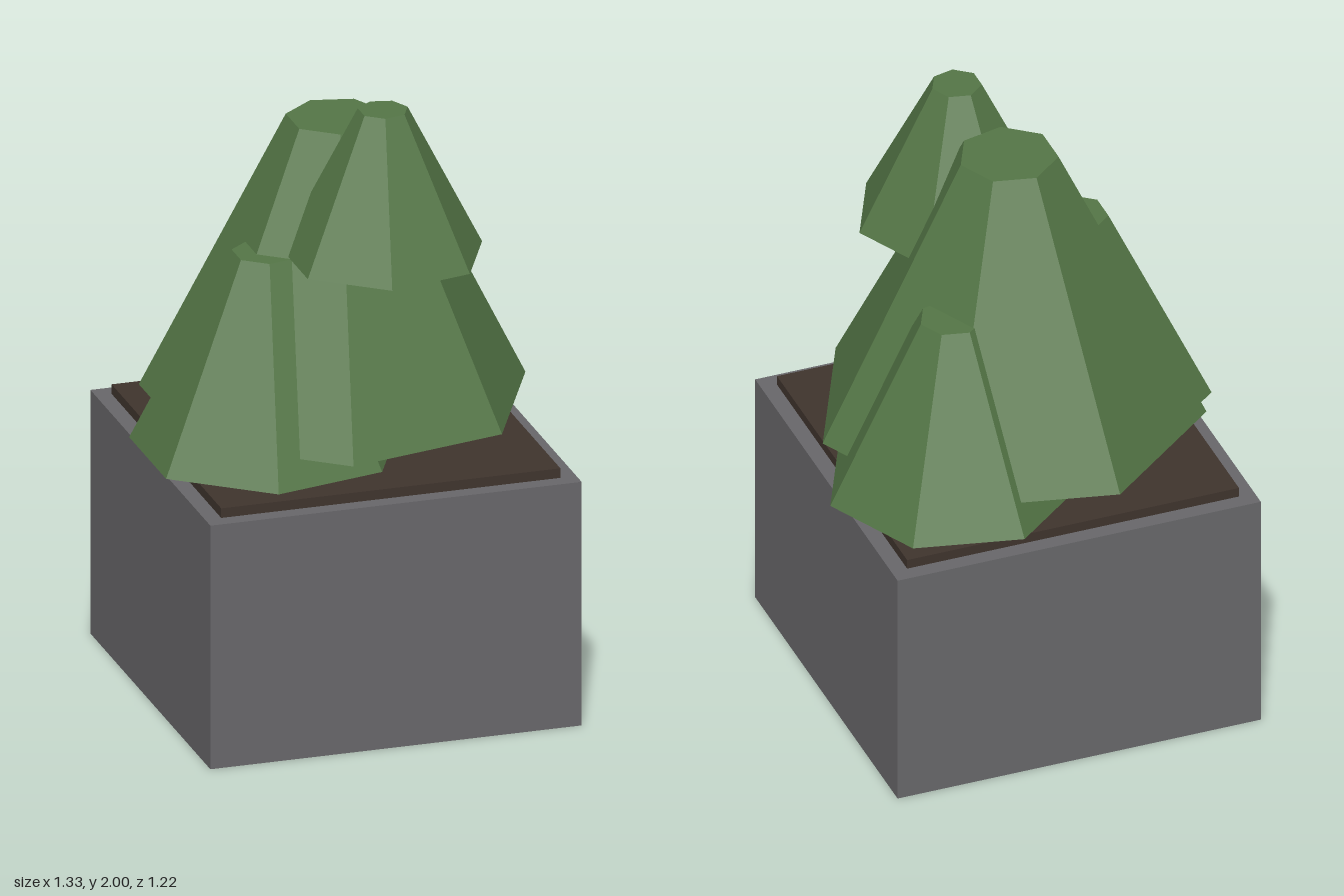
import * as THREE from 'three';

const material = (name, color) => {
  const m = new THREE.MeshStandardMaterial({ color, flatShading: true });
  m.name = name;
  return m;
};

export function createModel() {
  const group = new THREE.Group();
  group.name = 'pottedShrub';
  const stone = material('grey stone', 0x68676a);
  const soil = material('dark soil', 0x3f342d);
  const bark = material('brown bark', 0x4d4138);
  const leaf = material('leaf green', 0x547646);

  const add = (name, geometry, mat, x, y, z) => {
    const mesh = new THREE.Mesh(geometry, mat);
    mesh.name = name;
    mesh.position.set(x, y, z);
    group.add(mesh);
  };

  // Tapered prism with one corner pointing to +x
  const prism = (name, mat, sides, x, z, y0, y1, r0, r1) =>
    add(name, new THREE.CylinderGeometry(r1, r0, y1 - y0, sides, 1, false, Math.PI / 2),
      mat, x, (y0 + y1) / 2, z);

  // Square planter and the soil slab on top
  add('planter', new THREE.BoxGeometry(1.215, 0.815, 1.215), stone, -0.01, 0.4075, 0);
  add('soil', new THREE.BoxGeometry(1.11, 0.06, 1.11), soil, -0.01, 0.817, 0);

  // Short trunk hidden among the foliage
  prism('trunk', bark, 5, -0.01, 0, 0.865, 1.2, 0.28, 0.28);

  // Foliage cones: x, z, bottom, top, bottom radius, top radius
  prism('mainFoliage', leaf, 7, -0.01, 0, 0.955, 1.885, 0.62, 0.158);
  prism('topFoliage', leaf, 7, 0.057, 0.27, 1.52, 2.0, 0.324, 0.08);
  prism('rightFoliage', leaf, 7, -0.28, 0.132, 0.87, 1.515, 0.432, 0.11);
  prism('leftFoliage', leaf, 7, 0.26, -0.205, 0.862, 1.468, 0.405, 0.102);

  return group;
}
